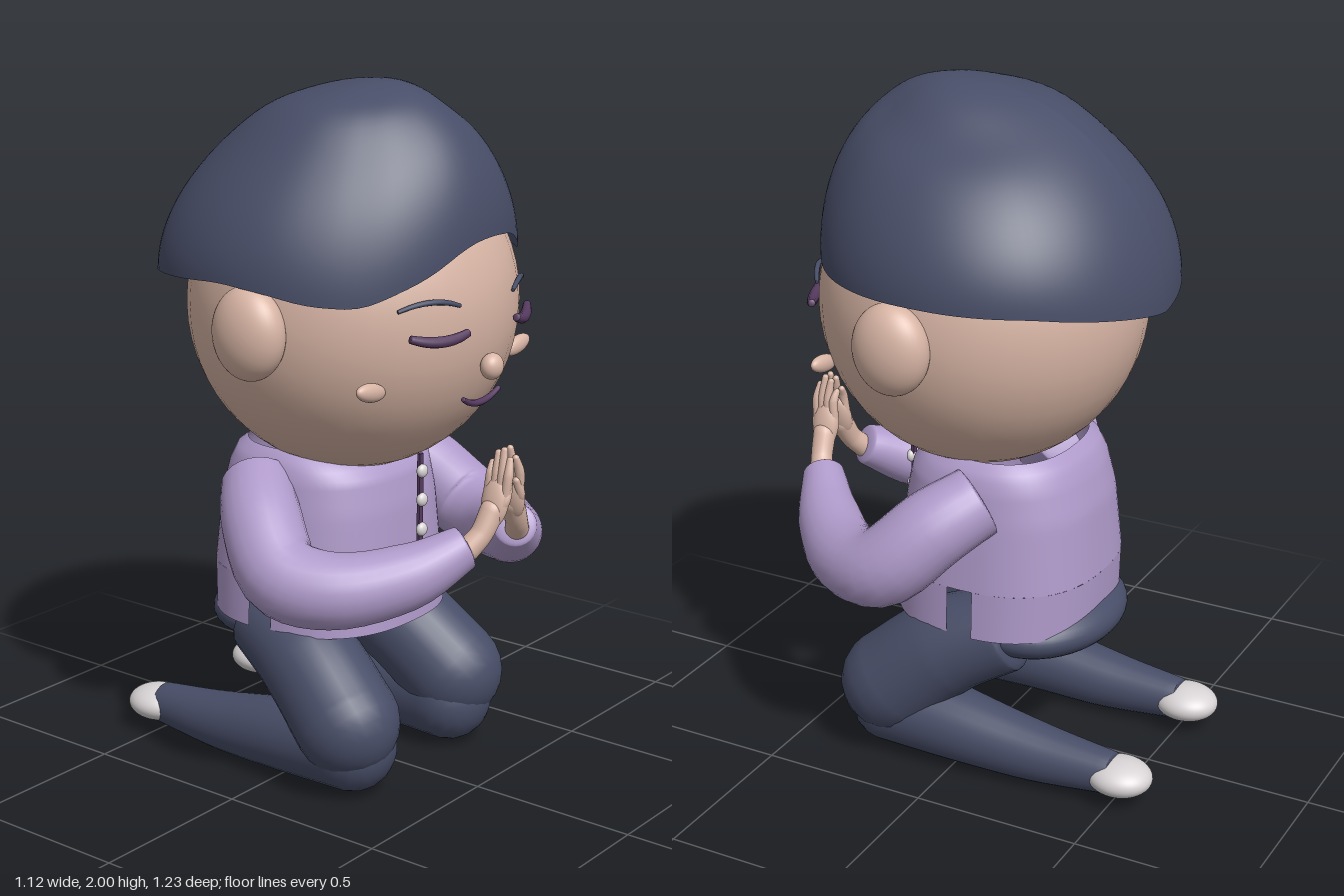
import * as THREE from 'three';
import { mergeVertices } from 'three/addons/utils/BufferGeometryUtils.js';

const V = (x, y, z) => new THREE.Vector3(x, y, z);

function material(name, color, side = THREE.FrontSide) {
  const m = new THREE.MeshStandardMaterial({ color, side });
  m.name = name;
  return m;
}

// Smooth surface from rows of points, at(row, column)
function grid(rows, cols, at) {
  const pos = [], idx = [];
  for (let i = 0; i <= rows; i++)
    for (let j = 0; j <= cols; j++) pos.push(...at(i / rows, j / cols).toArray());
  for (let i = 0; i < rows; i++)
    for (let j = 0; j < cols; j++) {
      const a = i * (cols + 1) + j, c = a + cols + 1;
      idx.push(a, a + 1, c, a + 1, c + 1, c);
    }
  let g = new THREE.BufferGeometry();
  g.setAttribute('position', new THREE.Float32BufferAttribute(pos, 3));
  g.setIndex(idx);
  g = mergeVertices(g, 1e-5);
  g.computeVertexNormals();
  return g;
}

// Linear lookup in a table of [key, ...values]
function lookup(table, k) {
  let i = 0;
  while (i < table.length - 2 && k > table[i + 1][0]) i++;
  const a = table[i], b = table[i + 1];
  const t = THREE.MathUtils.clamp((k - a[0]) / (b[0] - a[0]), 0, 1);
  return a.slice(1).map((v, n) => v + (b[n + 1] - v) * t);
}

// Tapered limb through [x, y, z, radius] stations with domed ends
function limb(stations, cap0 = 1, cap1 = 1, sides = 24) {
  const curve = new THREE.CatmullRomCurve3(stations.map(s => V(s[0], s[1], s[2])));
  const n = 24, caps = 6, frames = curve.computeFrenetFrames(n);
  const radii = stations.map((s, i) => [i / (stations.length - 1), s[3]]);
  const rings = [];
  const add = (i, bulge, scale) => {
    const r = lookup(radii, i / n)[0];
    const p = curve.getPoint(i / n).addScaledVector(curve.getTangent(i / n), r * bulge);
    rings.push({ p, r: r * scale, N: frames.normals[i], B: frames.binormals[i] });
  };
  for (let k = caps; k > 0; k--) {
    const a = k / caps * Math.PI / 2;
    add(0, -cap0 * Math.sin(a), Math.cos(a));
  }
  for (let i = 0; i <= n; i++) add(i, 0, 1);
  for (let k = 1; k <= caps; k++) {
    const a = k / caps * Math.PI / 2;
    add(n, cap1 * Math.sin(a), Math.cos(a));
  }
  return grid(rings.length - 1, sides, (u, v) => {
    const q = rings[Math.round(u * (rings.length - 1))], a = v * Math.PI * 2;
    return q.p.clone().addScaledVector(q.N, q.r * Math.cos(a)).addScaledVector(q.B, q.r * Math.sin(a));
  });
}

export function createModel() {
  const model = new THREE.Group();
  const skin = material('skin', 0xd8b5a5);
  const navy = material('navy', 0x484e68);
  const hairNavy = material('hairNavy', 0x484e68, THREE.DoubleSide);
  const lilac = material('lilac', 0xb09bcb, THREE.DoubleSide);
  const plum = material('plum', 0x563a60);
  const pale = material('pale', 0xd8d3d4);

  const add = (name, geometry, mat) => {
    const m = new THREE.Mesh(geometry, mat);
    m.name = name;
    model.add(m);
    return m;
  };
  const ball = (name, mat, p, r, rotZ = 0) => {
    const m = add(name, new THREE.SphereGeometry(1, 40, 28), mat);
    m.position.set(...p);
    m.scale.set(...r);
    m.rotation.z = rotZ;
    return m;
  };

  // Head and nose
  const H = [0, 1.375, 0.045], R = [0.475, 0.48, 0.467];
  ball('head', skin, H, R);
  ball('nose', skin, [0, 1.25, 0.522], [0.037, 0.037, 0.03]);

  // Curved facial line lying just off the head, thinner towards its ends
  const faceLine = (name, mat, x, half, yEnd, yMid, r, off) => {
    const pts = [];
    for (let i = -3; i <= 3; i++) {
      const t = i / 3, px = x + t * half, py = yMid + (yEnd - yMid) * t * t;
      const z = Math.sqrt(1 - (px / R[0]) ** 2 - ((py - H[1]) / R[1]) ** 2) * R[2] + H[2];
      pts.push([px, py, z + off, r * (1 - 0.3 * t * t)]);
    }
    add(name, limb(pts, 0.3, 0.3, 10), mat);
  };
  faceLine('mouth', plum, 0, 0.085, 1.168, 1.143, 0.01, 0.03);

  // Hair: a cap with an off-centre crown, a lopsided swell and a wavy hem
  const hem = [[-180, 1.41], [-127, 1.475], [-90, 1.5], [-75, 1.485], [-60, 1.455], [-44, 1.445], [-23, 1.515],
    [-8, 1.585], [3, 1.6], [19, 1.588], [38, 1.508], [50, 1.503], [90, 1.505], [127, 1.49], [155, 1.45], [180, 1.41]];
  add('hair', grid(32, 96, (u, v) => {
    const deg = v * 360 - 180, th = deg * Math.PI / 180;
    const edge = [-4, 0, 4].reduce((s, d) => s + lookup(hem, deg + d)[0] / 3, 0);
    const a = (1 - u) * Math.PI / 2, s = Math.sin(a);
    const drop = Math.pow(1 - Math.cos(a), 1 - 0.25 * Math.abs(Math.sin(th)) * Math.sqrt(s));
    const swell = -0.022 * Math.sin(th) * Math.exp(-(((s - 0.5) / 0.17) ** 2));
    return V(0.52 * Math.sin(th) * s, 2 - (2 - edge) * drop + swell,
      0.14 * (1 - s) + (-0.01 + 0.5 * Math.cos(th)) * s);
  }), hairNavy);

  // Shirt: [height, half width, front z, back z]; the hem is slit at both sides
  const shirtProfile = [[0.455, 0.325, 0.265, -0.34], [0.6, 0.32, 0.255, -0.347], [0.8, 0.3, 0.24, -0.328],
    [0.9, 0.285, 0.22, -0.3], [0.95, 0.265, 0.17, -0.275], [0.97, 0.24, 0.12, -0.245]];
  const shirtPart = (name, y0, y1, from, to) => add(name, grid(16, 64, (u, v) => {
    const y = y0 + (y1 - y0) * u, [rx, zf, zb] = lookup(shirtProfile, y);
    const a = (from + (to - from) * v) * Math.PI / 180;
    const bend = t => Math.sign(t) * Math.pow(Math.abs(t), 0.8);
    const c = bend(Math.cos(a));
    return V(rx * bend(Math.sin(a)), y, -0.04 + c * (c > 0 ? zf + 0.04 : -0.04 - zb));
  }), lilac);
  shirtPart('shirtBody', 0.6, 0.97, 0, 360);
  shirtPart('shirtFrontHem', 0.455, 0.6, -85.5, 85.5);
  shirtPart('shirtBackHem', 0.455, 0.6, 94.5, 265.5);

  // Button band and buttons
  const plate = (name, w, h, x, y, z, rotY = 0, rotZ = 0) => {
    const m = add(name, new THREE.BoxGeometry(w, h, 0.009), plum);
    m.position.set(x, y, z);
    m.rotation.set(0, rotY, rotZ);
  };
  plate('buttonBand', 0.018, 0.43, 0, 0.745, 0.285);
  for (const y of [0.91, 0.825, 0.737, 0.65, 0.56])
    ball('button', pale, [0, y, 0.292], [0.02, 0.02, 0.014]);

  // Trouser seat
  ball('trouserSeat', navy, [0, 0.435, -0.16], [0.29, 0.102, 0.225]);

  for (const s of [1, -1]) {
    const side = pts => pts.map(([x, ...rest]) => [s * x, ...rest]);

    // Face details
    ball('ear', skin, [s * 0.485, 1.365, 0.07], [0.077, 0.13, 0.113]);
    ball('cheek', skin, [s * 0.345, 1.222, 0.372], [0.06, 0.026, 0.02], s * 0.2);
    faceLine('eyelid', plum, s * 0.195, 0.08, 1.365, 1.35, 0.016, 0.024);
    faceLine('eyebrow', navy, s * 0.208, 0.083, 1.437, 1.455, 0.008, 0.01);

    // Pocket outline
    plate('pocketTop', 0.11, 0.01, s * 0.16, 0.605, 0.25, s * 0.12, s * 0.1);
    plate('pocketSide', 0.01, 0.085, s * 0.213, 0.565, 0.245);
    plate('pocketBottom', 0.105, 0.01, s * 0.162, 0.525, 0.255, s * 0.12);

    // Sleeve bent forward to the chest
    add('sleeve', limb(side([[0.28, 0.87, -0.08, 0.103], [0.37, 0.805, 0.01, 0.114], [0.435, 0.685, 0.14, 0.117],
      [0.39, 0.66, 0.28, 0.108], [0.25, 0.695, 0.43, 0.092], [0.125, 0.765, 0.525, 0.062]]), 0.12, 0.2), lilac);

    // Hand: wrist, palm, four fingers and thumb
    add('wrist', limb(side([[0.12, 0.76, 0.535, 0.034], [0.085, 0.8, 0.555, 0.032], [0.05, 0.86, 0.565, 0.034]])), skin);
    ball('palm', skin, [s * 0.038, 0.885, 0.567], [0.027, 0.075, 0.042], s * 0.25);
    for (let f = 0; f < 4; f++) {
      const z = 0.54 + f * 0.019, tip = [0.995, 1.025, 1.035, 1.01][f];
      add('finger', limb(side([[0.034, 0.9, z, 0.014], [0.027, 0.96, z + 0.004, 0.014],
        [0.014, tip - 0.01, z, 0.01]]), 1, 1, 10), skin);
    }
    add('thumb', limb(side([[0.055, 0.85, 0.575, 0.016], [0.037, 0.89, 0.598, 0.015],
      [0.018, 0.935, 0.598, 0.011]]), 1, 1, 10), skin);

    // Kneeling leg
    add('thigh', limb(side([[0.185, 0.435, -0.12, 0.127], [0.22, 0.35, 0.06, 0.148],
      [0.255, 0.215, 0.222, 0.153]]), 0.25, 1), navy);
    add('shin', limb(side([[0.235, 0.137, 0.23, 0.13], [0.245, 0.115, 0, 0.11],
      [0.242, 0.09, -0.25, 0.088], [0.24, 0.085, -0.49, 0.062]]), 0.95, 0.1), navy);
    ball('shoe', pale, [s * 0.24, 0.083, -0.515], [0.087, 0.052, 0.097]);
  }
  return model;
}
